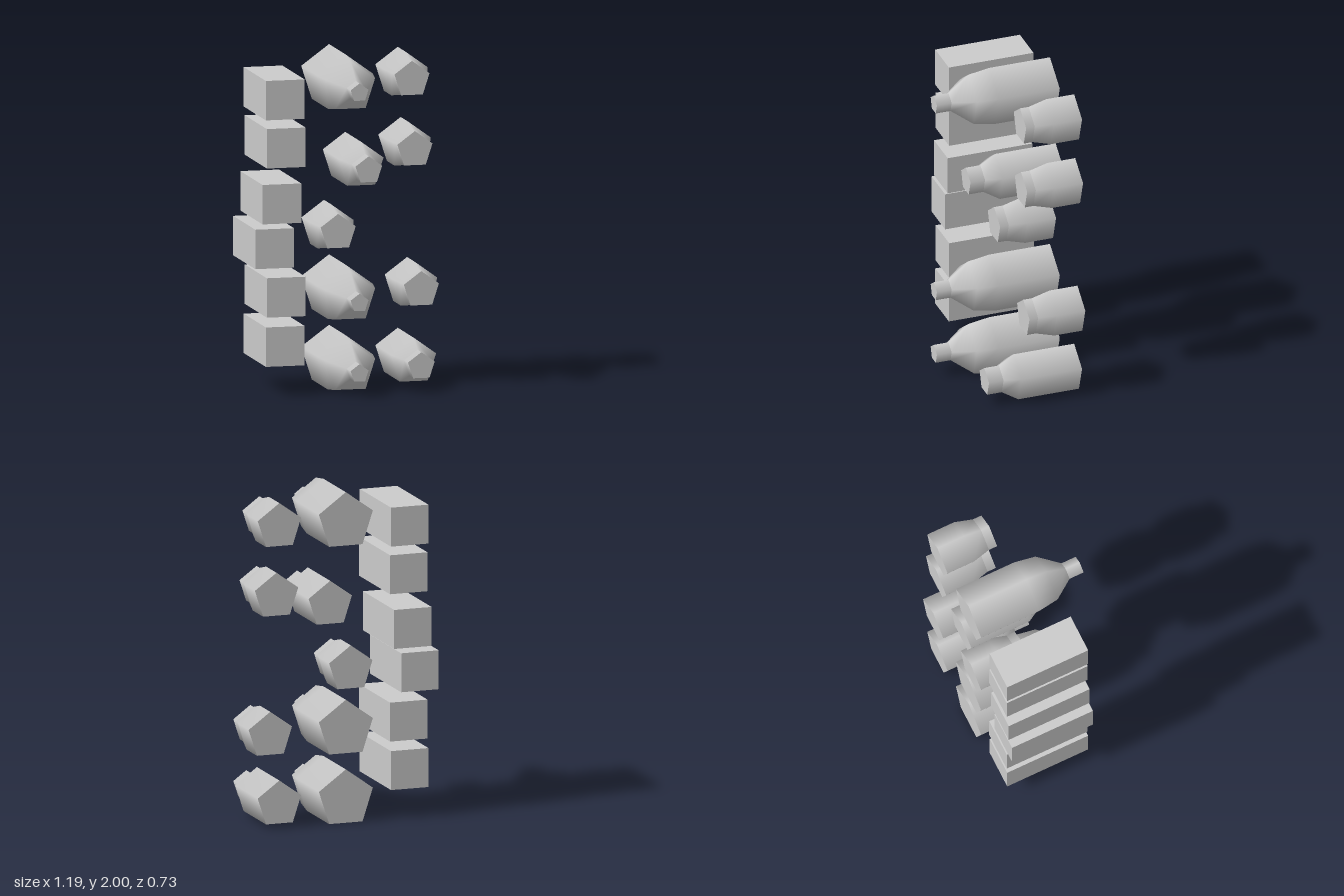
import * as THREE from 'three';
import { mergeGeometries } from 'three/addons/utils/BufferGeometryUtils.js';

const BACK = -0.365;
const SIDES = 5;
const material = new THREE.MeshStandardMaterial({ color: 0xcccccc });

// Smooth five-sided skin along z, one corner up; points are [radius, z]
function skin(points) {
  const profile = points.map(([r, z]) => new THREE.Vector2(r, z));
  return new THREE.LatheGeometry(profile, SIDES, Math.PI).rotateX(Math.PI / 2);
}

// Flat end cap facing +z, with one corner up
function cap(radius) {
  return new THREE.CircleGeometry(radius, SIDES, Math.PI / 2);
}

// Bottle lying along z: body with shoulder, sharp-edged neck, two caps
function bottleGeometry(body, neckEnd) {
  const [baseRadius] = body[0];
  const [neckRadius, neckStart] = body[body.length - 1];
  return mergeGeometries([
    skin(body),
    skin([[neckRadius, neckStart], [neckRadius, neckEnd]]),
    cap(baseRadius).rotateY(Math.PI).translate(0, 0, BACK),
    cap(neckRadius).translate(0, 0, neckEnd),
  ]);
}

export function createModel() {
  const model = new THREE.Group();

  function place(name, geometry, positions, z = 0) {
    positions.forEach(([x, y], i) => {
      const mesh = new THREE.Mesh(geometry, material);
      mesh.name = name + (i + 1);
      mesh.position.set(x, y, z);
      model.add(mesh);
    });
  }

  // Uneven column of boxes
  const depth = 0.53;
  place('box', new THREE.BoxGeometry(0.235, 0.235, depth), [
    [-0.418, 1.766], [-0.412, 1.479], [-0.438, 1.147],
    [-0.482, 0.882], [-0.412, 0.59], [-0.418, 0.297],
  ], BACK + depth / 2);

  // Tall bottles with a narrow neck
  const large = bottleGeometry(
    [[0.178, BACK], [0.178, 0.015], [0.157, 0.145], [0.057, 0.27]], 0.362);
  place('largeBottle', large, [[-0.017, 1.822], [-0.017, 0.569], [-0.017, 0.149]]);

  // Medium bottles
  const medium = bottleGeometry(
    [[0.143, BACK], [0.143, 0.015], [0.085, 0.106]], 0.197);
  place('mediumBottle', medium, [[0.081, 1.33], [0.4, 0.15]]);

  // Short wide-necked jars
  const small = bottleGeometry(
    [[0.143, BACK], [0.143, -0.19], [0.112, -0.08]], -0.026);
  place('jar', small, [[0.4, 1.824], [0.418, 1.405], [-0.048, 0.93], [0.457, 0.569]]);

  return model;
}
